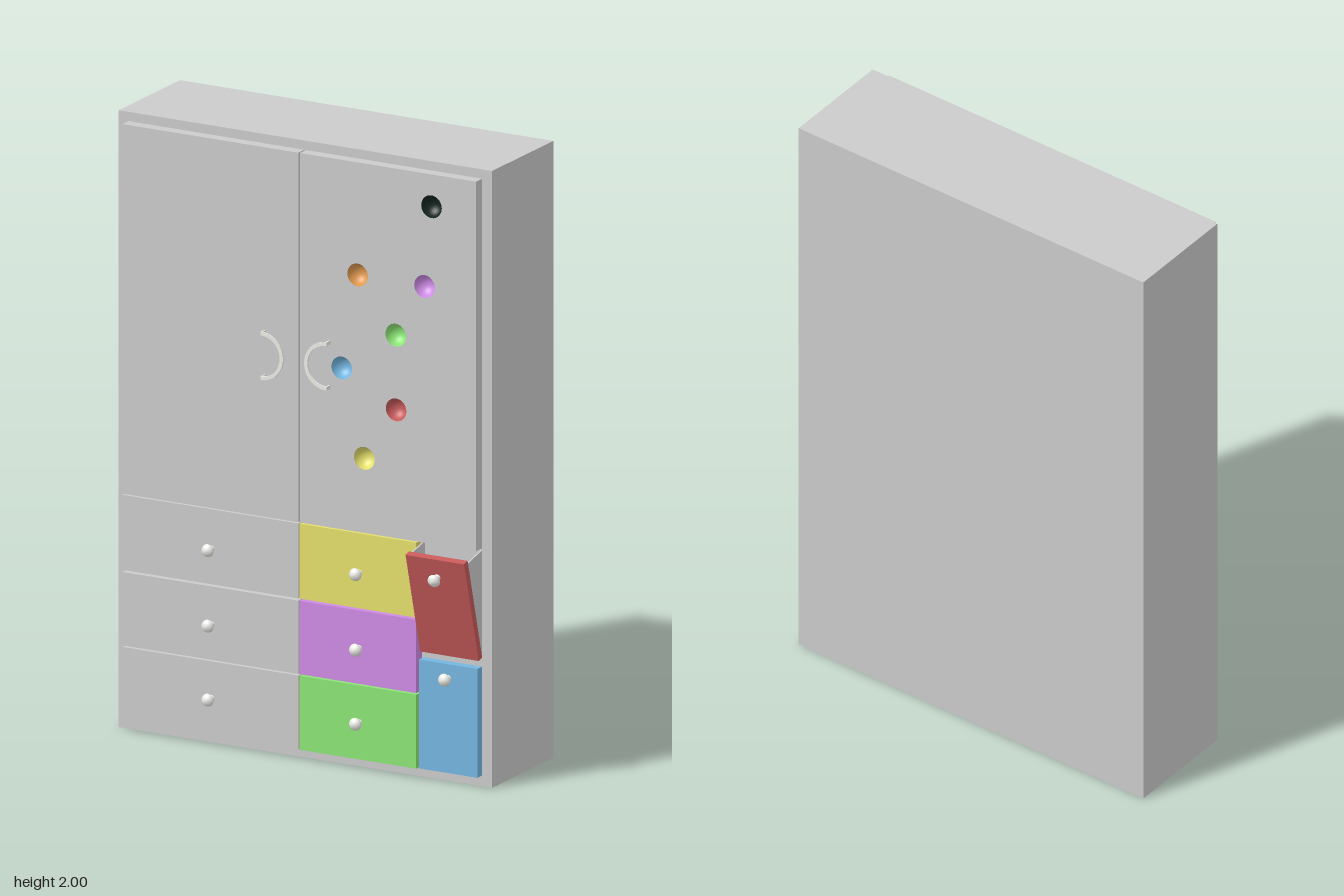
import * as THREE from 'three';

const FRONT = 0.123; // z of the cabinet's front plane
const THICK = 0.038; // thickness of doors and drawer fronts
const FACE = FRONT + THICK;
const GREY = 0xcccccc, METAL = 0xeeeee8;
const YELLOW = 0xe6e06c, PURPLE = 0xcf8be6, GREEN = 0x8be676, RED = 0xc85a5a, BLUE = 0x74b6e0, ORANGE = 0xe0994f;

const mat = (color, side = THREE.FrontSide) => new THREE.MeshStandardMaterial({ color, side });

function add(parent, name, geometry, material, x = 0, y = 0, z = 0) {
  const mesh = new THREE.Mesh(geometry, material);
  mesh.name = name;
  mesh.position.set(x, y, z);
  parent.add(mesh);
  return mesh;
}

// Box given by its x, y and z limits
function slab(parent, name, color, x0, x1, y0, y1, z0, z1) {
  return add(parent, name, new THREE.BoxGeometry(x1 - x0, y1 - y0, z1 - z0), mat(color),
    (x0 + x1) / 2, (y0 + y1) / 2, (z0 + z1) / 2);
}

// Round knob on a flared stem, pointing to +z
function knob(parent, x, y, z) {
  const profile = [[0.011, 0], [0.007, 0.005], [0.006, 0.011], [0.013, 0.014], [0.019, 0.018],
    [0.021, 0.023], [0.019, 0.029], [0.013, 0.034], [0.006, 0.037], [0, 0.038]];
  const geo = new THREE.LatheGeometry(profile.map(p => new THREE.Vector2(...p)), 24);
  geo.rotateX(Math.PI / 2);
  add(parent, 'knob', geo, mat(METAL, THREE.DoubleSide), x, y, z);
}

// Half-ring handle with two short legs; dir is the way it bulges
function handle(parent, x, y, dir) {
  const group = new THREE.Group();
  group.name = 'doorHandle';
  const outer = 0.078, inner = 0.066, lift = 0.02, h = Math.PI / 2;
  const shape = new THREE.Shape();
  shape.absarc(0, 0, outer, -h, h, false);
  shape.absarc(0, 0, inner, h, -h, true);
  const start = dir > 0 ? 0 : Math.PI;
  const geo = new THREE.ExtrudeGeometry(shape, { depth: 0.005, bevelEnabled: false, curveSegments: 24 });
  geo.rotateZ(start);
  add(group, 'handleArc', geo, mat(METAL), 0, 0, lift);
  for (const s of [-1, 1]) {
    add(group, 'handleLeg', new THREE.BoxGeometry(0.005, outer - inner, lift + 0.005), mat(METAL),
      0, s * (outer + inner) / 2, (lift + 0.005) / 2);
  }
  group.position.set(x, y, FACE);
  parent.add(group);
}

// Door with round holes, each lined with a coloured bowl
function holedDoor(parent, x0, x1, y0, y1, holes) {
  const r = 0.037;
  const shape = new THREE.Shape([[x0, y0], [x1, y0], [x1, y1], [x0, y1]].map(p => new THREE.Vector2(...p)));
  for (const [x, y] of holes) shape.holes.push(new THREE.Path().absarc(x, y, r, 0, Math.PI * 2, true));
  const geo = new THREE.ExtrudeGeometry(shape, { depth: THICK, bevelEnabled: false, curveSegments: 16 });
  add(parent, 'rightDoor', geo, mat(GREY), 0, 0, FRONT);
  for (const [x, y, color] of holes) {
    const bowl = new THREE.SphereGeometry(r, 32, 12, 0, Math.PI * 2, Math.PI / 2, Math.PI / 2);
    bowl.rotateX(Math.PI / 2);
    add(parent, 'holeBowl', bowl, mat(color, THREE.DoubleSide), x, y, FACE - 0.0005);
  }
}

// Tilted bin front with wedge-shaped sides
function tiltBin(parent) {
  const bin = new THREE.Group();
  bin.name = 'tiltBin';
  const x0 = 0.425, x1 = 0.635, yHinge = 0.418, length = 0.348, thick = 0.023;

  const front = new THREE.Group();
  front.name = 'tiltBinFront';
  slab(front, 'binPanel', RED, x0, x1, 0, length, 0, thick);
  knob(front, 0.53, 0.284, thick);
  front.position.set(0, yHinge, FRONT);
  front.rotation.x = 0.263;
  bin.add(front);

  const side = new THREE.Shape([[0, 0], [0.088, 0.327], [0, 0.347]].map(p => new THREE.Vector2(...p)));
  for (const x of [x0, x1 - 0.005]) {
    const geo = new THREE.ExtrudeGeometry(side, { depth: 0.005, bevelEnabled: false });
    geo.rotateY(-Math.PI / 2); // shape x becomes z
    geo.translate(0.005, 0, 0);
    add(bin, 'binSide', geo, mat(GREY), x, yHinge, FRONT);
  }
  parent.add(bin);
}

export function createModel() {
  const model = new THREE.Group();
  model.name = 'cabinet';

  slab(model, 'cabinetBody', GREY, -0.67, 0.67, 0, 2, -0.26, FRONT);

  // Doors and handles
  slab(model, 'leftDoor', GREY, -0.635, -0.003, 0.772, 1.97, FRONT, FACE);
  holedDoor(model, 0.003, 0.635, 0.772, 1.97, [
    [0.475, 1.865, 0x14251f], [0.21, 1.605, ORANGE], [0.45, 1.603, PURPLE], [0.347, 1.43, GREEN],
    [0.153, 1.295, BLUE], [0.348, 1.188, RED], [0.234, 1.014, YELLOW],
  ]);
  handle(model, -0.122, 1.3, 1);
  handle(model, 0.11, 1.3, -1);

  // Two stacks of drawers
  const rows = [[0.035, 0.275, 0.155, GREEN], [0.28, 0.518, 0.395, PURPLE], [0.525, 0.768, 0.64, YELLOW]];
  for (const [y0, y1, yKnob, color] of rows) {
    slab(model, 'greyDrawer', GREY, -0.635, -0.003, y0, y1, FRONT, FACE);
    knob(model, -0.315, yKnob, FACE);
    slab(model, 'colouredDrawer', color, 0.001, 0.42, y0, y1, FRONT, FACE);
    knob(model, 0.215, yKnob, FACE);
  }

  // Closed bin below, tilted bin above
  slab(model, 'closedBin', BLUE, 0.425, 0.635, 0.035, 0.388, FRONT, FRONT + 0.03);
  knob(model, 0.53, 0.342, FRONT + 0.03);
  tiltBin(model);

  return model;
}
